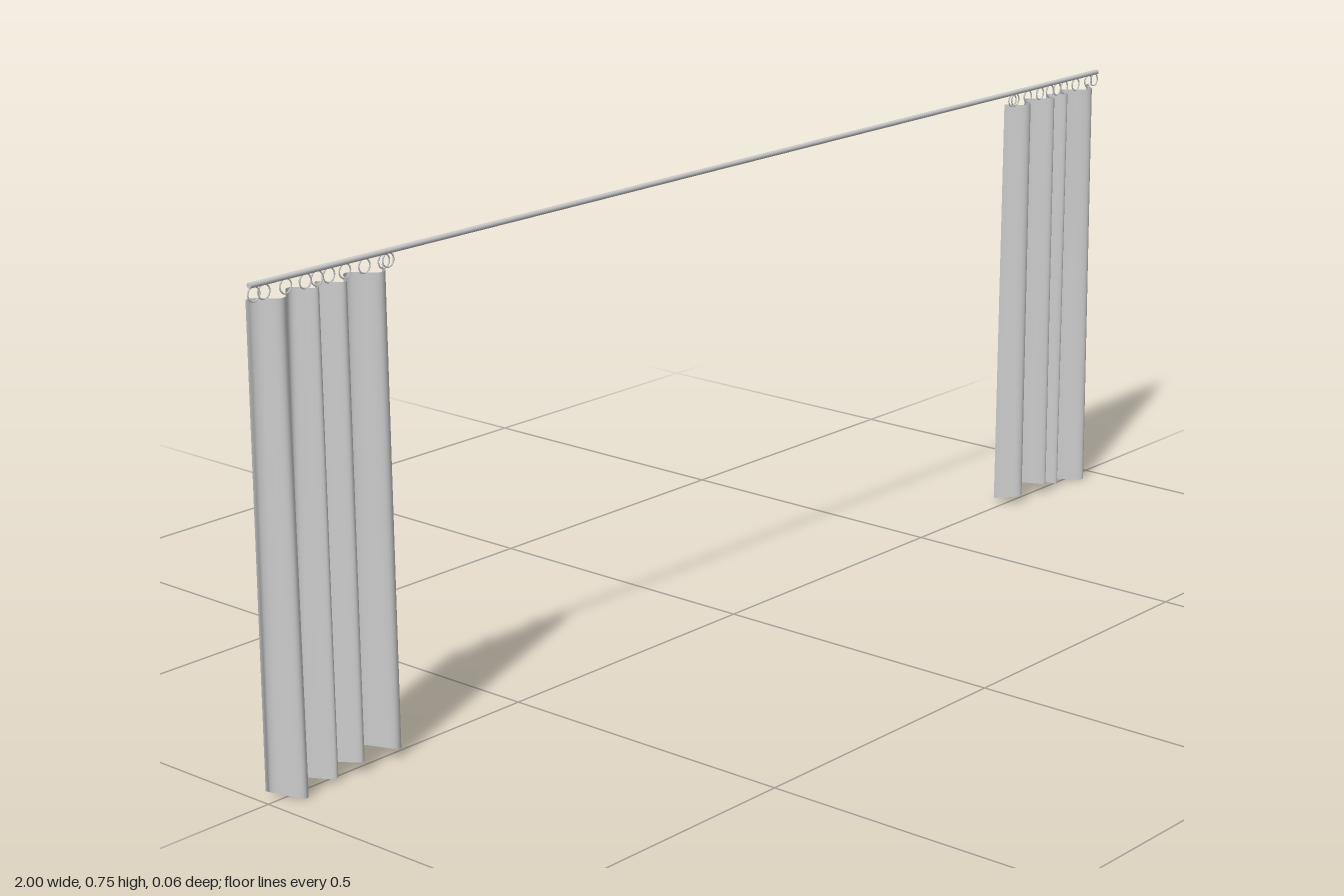
import * as THREE from 'three';

const TOP = 0.726, ROD_Y = 0.748;
const material = new THREE.MeshStandardMaterial({ color: 0xcccccc });
const cloth = new THREE.MeshStandardMaterial({ color: 0xcccccc, side: THREE.DoubleSide });

// Fold line at the hem, from the outer edge to the inner one: [x, z]
const hem = [[0.99, -0.016], [0.975, -0.012], [0.95, 0.026], [0.91, -0.029], [0.885, 0.016],
  [0.862, -0.017], [0.838, 0.022], [0.804, -0.027], [0.768, 0.02], [0.738, -0.018]];
// Fold line at the heading, slightly shallower
const heading = hem.map(([x, z], i) => [x, i === 1 ? -0.008 : Math.sign(z) * Math.min(0.018, Math.abs(z) * 0.85)]);

const foldCurve = (points) => new THREE.CatmullRomCurve3(
  points.map(([x, z]) => new THREE.Vector3(x, 0, z)), false, 'catmullrom', 0.6);

// Pleated cloth: blend of the heading and hem curves with an uneven bottom edge
function curtainGeometry(side) {
  const top = foldCurve(heading), bottom = foldCurve(hem);
  const geometry = new THREE.PlaneGeometry(1, 1, 108, 16);
  const p = geometry.attributes.position;
  for (let i = 0; i < p.count; i++) {
    const u = p.getX(i) + 0.5, drop = 0.5 - p.getY(i);
    const a = top.getPoint(u).lerp(bottom.getPoint(u), drop);
    const hemY = 0.013 - 0.009 * Math.cos((u - 0.28) * 7) + 0.003 * u;
    p.setXYZ(i, side * a.x, THREE.MathUtils.lerp(TOP, hemY, drop), a.z);
  }
  // Keep the winding outward on the mirrored side
  if (side > 0) {
    const index = geometry.index;
    for (let i = 0; i < index.count; i += 3) {
      const b = index.getX(i + 1);
      index.setX(i + 1, index.getX(i + 2));
      index.setX(i + 2, b);
    }
  }
  geometry.computeVertexNormals();
  return geometry;
}

// Places along the heading where the cloth passes under the rod, plus both ends
function ringPositions() {
  const curve = foldCurve(heading), found = [0.987];
  let last = curve.getPoint(0);
  for (let i = 1; i <= 400; i++) {
    const next = curve.getPoint(i / 400);
    if (last.z * next.z < 0) found.push(next.x);
    last = next;
  }
  found.push(0.74);
  return found;
}

export function createModel() {
  const model = new THREE.Group();

  // Rod across the full width
  const rod = new THREE.Mesh(new THREE.CylinderGeometry(0.0042, 0.0042, 1.99, 16), material);
  rod.name = 'rod';
  rod.rotation.z = Math.PI / 2;
  rod.position.y = ROD_Y;
  model.add(rod);

  // Two mirrored curtains hung on small rings
  const ringGeometry = new THREE.TorusGeometry(0.0105, 0.0012, 6, 20);
  for (const side of [-1, 1]) {
    const group = new THREE.Group();
    group.name = side > 0 ? 'leftCurtain' : 'rightCurtain';
    const curtain = new THREE.Mesh(curtainGeometry(side), cloth);
    curtain.name = 'curtainCloth';
    group.add(curtain);
    for (const x of ringPositions()) {
      const ring = new THREE.Mesh(ringGeometry, material);
      ring.name = 'curtainRing';
      ring.position.set(side * x, 0.735, 0);
      group.add(ring);
    }
    model.add(group);
  }
  return model;
}
